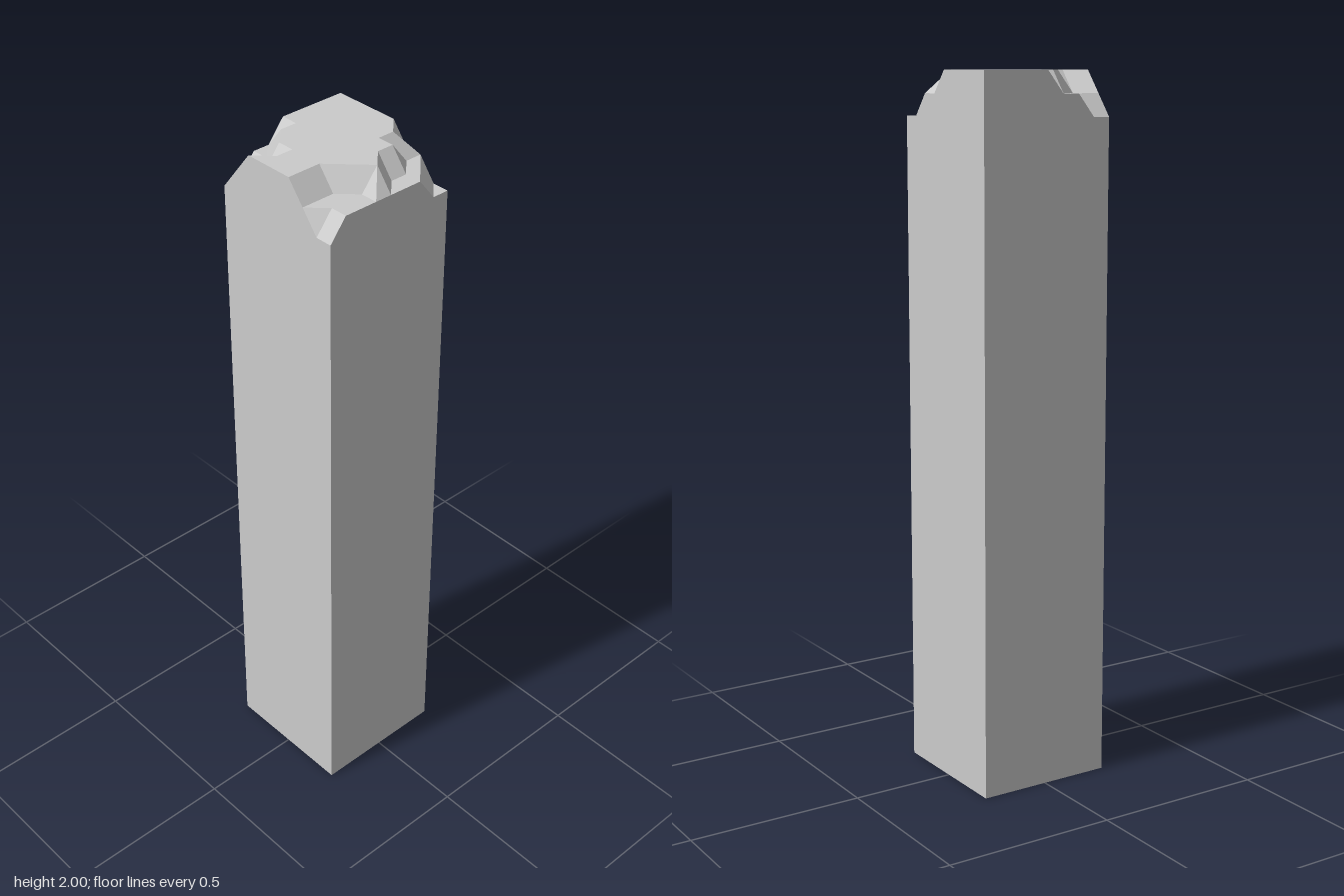
import * as THREE from 'three';

const N = 8, STEP = 0.05, HALF = 0.2, TOP = 2, DROP = 0.0625;

// Chipping depth of the top, in steps: rows run back to front, columns along +x
const CHIPS = [
  '221100000',
  '111000000',
  '010000000',
  '000000000',
  '000000000',
  '000000001',
  '111000011',
  '211101112',
  '211111122',
];

// Cells (column,row) whose crease runs into the odd corner instead of cutting it off
const POINTED = new Set(['3,7', '3,0', '6,5', '7,5', '1,2', '1,0']);

const depth = (i, j) => Number(CHIPS[j][i]);
const topPoint = (i, j) => [i * STEP - HALF, TOP - depth(i, j) * DROP, j * STEP - HALF];
const basePoint = (i, j) => [i * STEP - HALF, 0, j * STEP - HALF];

function mesh(name, triangles) {
  const geometry = new THREE.BufferGeometry();
  geometry.setAttribute('position', new THREE.Float32BufferAttribute(triangles.flat(2), 3));
  geometry.computeVertexNormals();
  const result = new THREE.Mesh(geometry, new THREE.MeshStandardMaterial({ color: 0xcccccc, flatShading: true }));
  result.name = name;
  return result;
}

// Broken top: each grid cell is two triangles creased along one diagonal
function chippedTop() {
  const tris = [];
  for (let j = 0; j < N; j++) {
    for (let i = 0; i < N; i++) {
      const a = topPoint(i, j), b = topPoint(i + 1, j);
      const c = topPoint(i, j + 1), d = topPoint(i + 1, j + 1);
      const oddIsAorD = depth(i + 1, j) === depth(i, j + 1);
      const creaseBC = oddIsAorD !== POINTED.has(`${i},${j}`);
      if (creaseBC) tris.push([a, c, b], [b, c, d]);
      else tris.push([a, c, d], [a, d, b]);
    }
  }
  return mesh('chippedTop', tris);
}

// Four walls that follow the broken rim, plus the flat underside
function shaft() {
  const tris = [];
  const wall = (from, to) => {
    const p = basePoint(...from), q = basePoint(...to);
    const r = topPoint(...to), s = topPoint(...from);
    tris.push([p, q, r], [p, r, s]);
  };
  for (let k = 0; k < N; k++) {
    wall([k, N], [k + 1, N]); // front
    wall([k + 1, 0], [k, 0]); // back
    wall([N, k + 1], [N, k]); // +x side
    wall([0, k], [0, k + 1]); // -x side
  }
  const a = basePoint(0, 0), b = basePoint(N, 0), c = basePoint(N, N), d = basePoint(0, N);
  tris.push([a, b, c], [a, c, d]);
  return mesh('shaft', tris);
}

export function createModel() {
  const pillar = new THREE.Group();
  pillar.name = 'brokenPillar';
  pillar.add(shaft(), chippedTop());
  return pillar;
}
